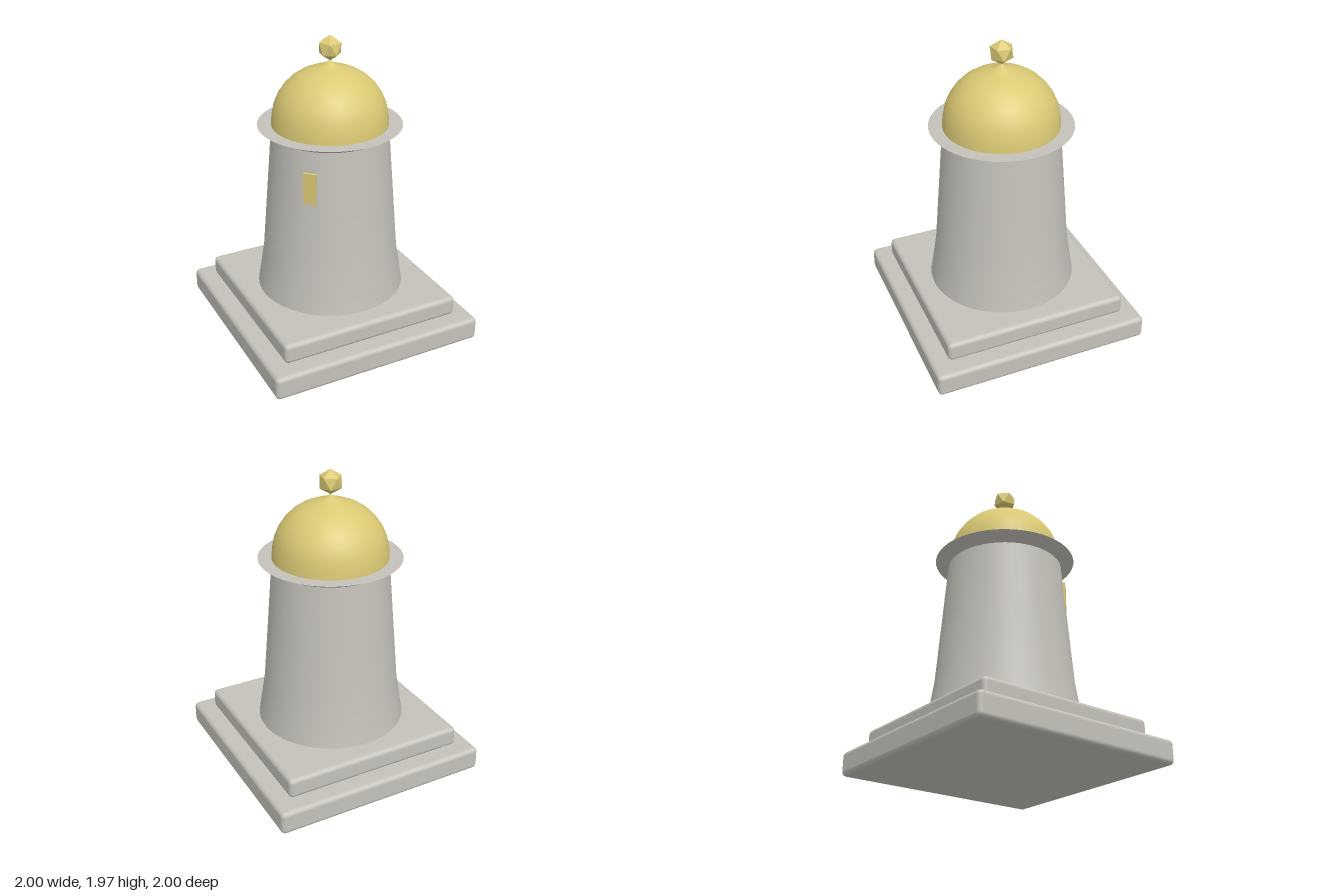
import * as THREE from 'three';
import { RoundedBoxGeometry } from 'three/addons/geometries/RoundedBoxGeometry.js';

export function createModel() {
  const model = new THREE.Group();
  model.name = 'domedTower';

  const stone = new THREE.MeshStandardMaterial({ color: 0xc4c1ba });
  stone.name = 'stone';
  const gold = new THREE.MeshStandardMaterial({ color: 0xdac974 });
  gold.name = 'gold';
  // faceted variant of the gold, for the finial
  const facetedGold = gold.clone();
  facetedGold.name = 'facetedGold';
  facetedGold.flatShading = true;

  function add(name, geometry, material, y = 0, z = 0) {
    const mesh = new THREE.Mesh(geometry, material);
    mesh.name = name;
    mesh.position.set(0, y, z);
    model.add(mesh);
    return mesh;
  }
  const lathe = (points) =>
    new THREE.LatheGeometry(points.map(([r, y]) => new THREE.Vector2(r, y)), 48);

  // Square plinth steps, turned so that their corners point along x and z
  const bevel = 0.03;
  function step(name, reach, bottom, top) {
    const side = 2 * ((reach - bevel) / Math.SQRT2 + bevel);
    const geometry = new RoundedBoxGeometry(side, top - bottom, side, 3, bevel);
    add(name, geometry, stone, (top + bottom) / 2).rotation.y = Math.PI / 4;
  }
  step('lowerStep', 1.0, 0, 0.155);
  step('upperStep', 0.845, 0.155, 0.288);

  // Tapering round tower with a flared foot
  add('towerWall', lathe([[0.48, 0.28], [0.437, 0.55], [0.405, 0.94], [0.37, 1.37]]), stone);

  // Overhanging collar below the dome
  add('collar', new THREE.CylinderGeometry(0.455, 0.37, 0.045, 48), stone, 1.3825);

  // Dome that sweeps up into a small point
  add('dome', lathe([
    [0.368, 1.4], [0.364, 1.46], [0.35, 1.53], [0.325, 1.59], [0.288, 1.645],
    [0.24, 1.694], [0.185, 1.731], [0.13, 1.755], [0.08, 1.77], [0.04, 1.787], [0, 1.812],
  ]), gold);

  // Faceted finial standing on one of its points
  const finial = new THREE.IcosahedronGeometry(0.079, 0);
  finial.rotateX(-Math.atan((1 + Math.sqrt(5)) / 2));
  finial.rotateY(Math.PI / 2);
  add('finial', finial, facetedGold, 1.888);

  // Upright window panel whose foot sinks into the sloping wall
  add('window', new THREE.BoxGeometry(0.082, 0.245, 0.06), gold, 1.1025, 0.367);

  return model;
}
